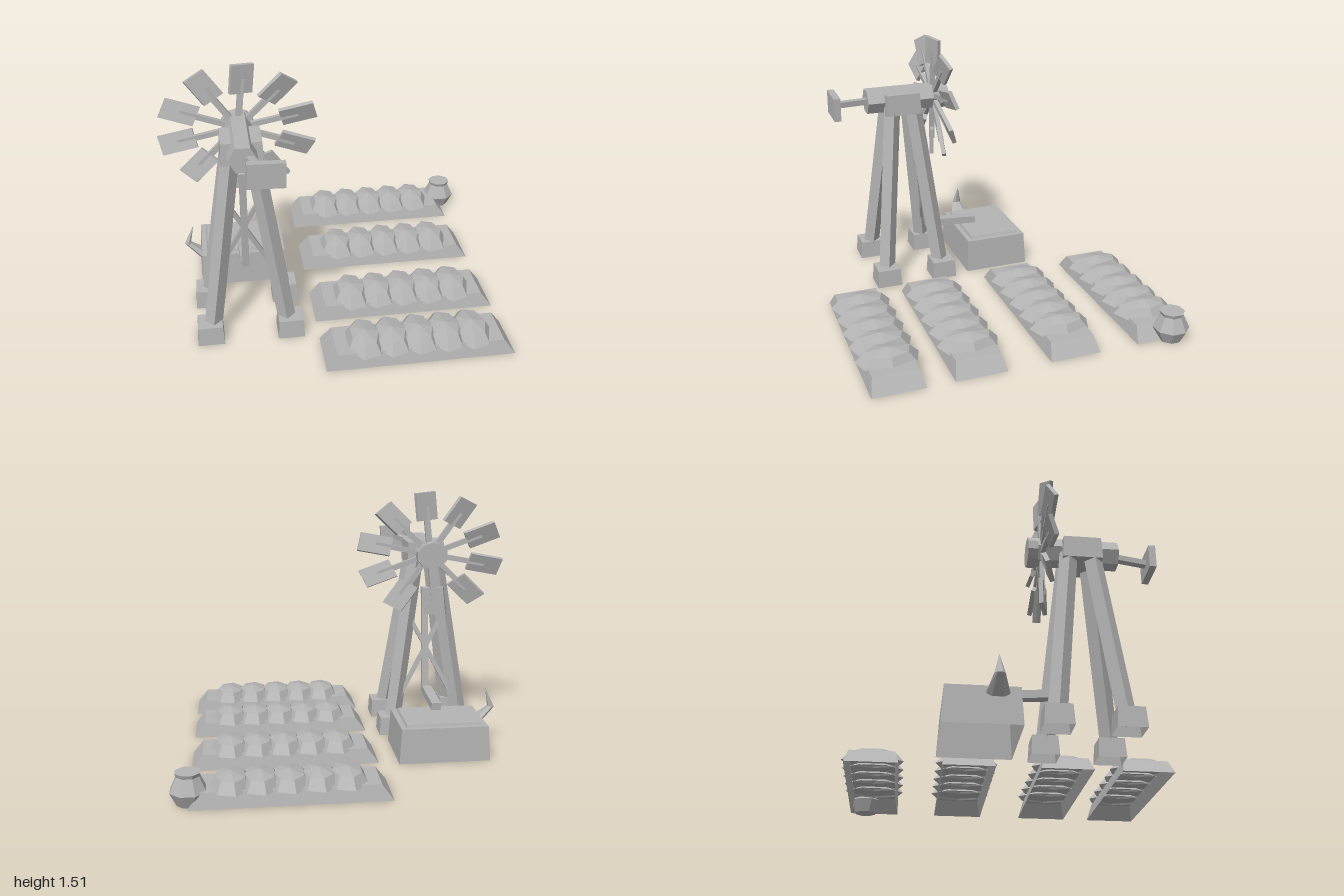
import * as THREE from 'three';

const grey = new THREE.MeshStandardMaterial({ color: 0xb4b4b4, flatShading: true, side: THREE.DoubleSide });
grey.name = 'grey';

const V = (x, y, z) => new THREE.Vector3(x, y, z);

function add(parent, name, geometry, x = 0, y = 0, z = 0) {
  const mesh = new THREE.Mesh(geometry, grey);
  mesh.name = name;
  mesh.position.set(x, y, z);
  parent.add(mesh);
  return mesh;
}

// Box standing on y = 0 with a smaller top; it may be left open underneath
function taperedBox(w, d, topW, topD, h, open = true) {
  const g = new THREE.BoxGeometry(w, h, d).translate(0, h / 2, 0);
  const p = g.attributes.position;
  for (let i = 0; i < p.count; i++) {
    if (p.getY(i) > h / 2) p.setXYZ(i, p.getX(i) * topW / w, h, p.getZ(i) * topD / d);
  }
  if (open) {
    const index = Array.from(g.index.array);
    index.splice(18, 6);
    g.setIndex(index);
    g.clearGroups();
  }
  return g;
}

// Square beam between two points; "side" fixes the direction of its width
function beam(parent, name, a, b, width, depth, side) {
  const dir = b.clone().sub(a);
  const length = dir.length();
  dir.normalize();
  const zAxis = side.clone().cross(dir).normalize();
  const xAxis = dir.clone().cross(zAxis);
  const mesh = add(parent, name, new THREE.BoxGeometry(width, length, depth));
  mesh.quaternion.setFromRotationMatrix(new THREE.Matrix4().makeBasis(xAxis, dir, zAxis));
  mesh.position.copy(a).add(b).multiplyScalar(0.5);
  return mesh;
}

// Raised soil bed with five overlapping faceted plants
function createBed(z) {
  const bed = new THREE.Group();
  bed.name = 'cropBed';
  bed.position.z = z;
  add(bed, 'soil', taperedBox(1.07, 0.298, 0.945, 0.255, 0.085), 0.37);
  const profile = [0, 1, 2].map(i => {
    const a = i * Math.PI / 4;
    return new THREE.Vector2(i === 2 ? 0 : Math.cos(a), Math.sin(a));
  });
  const dome = new THREE.LatheGeometry(profile, 7).rotateY(Math.PI / 2).scale(0.115, 0.077, 0.182);
  for (let i = 0; i < 5; i++) add(bed, 'plant', dome, 0.067 + i * 0.154, 0.075, 0);
  return bed;
}

// Four-legged tower with feet, rear bracing and pump rod
function createTower() {
  const tower = new THREE.Group();
  tower.name = 'tower';
  tower.position.set(-0.55, 0, 0.326);
  for (const sx of [-1, 1]) {
    for (const sz of [-1, 1]) {
      add(tower, 'foot', taperedBox(0.152, 0.155, 0.14, 0.14, 0.11), sx * 0.23, 0, sz * 0.181);
      beam(tower, 'leg', V(sx * 0.215, 0.06, sz * 0.178), V(sx * 0.06, 1.11, sz * 0.066),
        0.072, 0.072, V(sx, 0, -sz));
    }
    // Braces cross in the sloping plane of the rear legs
    beam(tower, 'brace', V(sx * 0.18, 0.2, -0.165), V(-sx * 0.1, 0.72, -0.108), 0.026, 0.02, V(1, 0, 0));
  }
  beam(tower, 'pumpRod', V(0.004, 0.25, -0.16), V(0.004, 0.91, -0.087), 0.04, 0.035, V(1, 0, 0));
  beam(tower, 'pumpArm', V(0, 0.27, -0.19), V(0, 0.25, -0.486), 0.058, 0.045, V(1, 0, 0));
  return tower;
}

// Gearbox, shaft and tail vane
function createHead() {
  const head = new THREE.Group();
  head.name = 'head';
  head.position.set(-0.55, 1.14, 0);
  add(head, 'gearbox', taperedBox(0.232, 0.222, 0.225, 0.21, 0.13, false), 0, -0.08, 0.332);
  const shaft = new THREE.CylinderGeometry(0.081, 0.081, 0.47, 6)
    .rotateY(Math.PI / 2).rotateX(Math.PI / 2);
  shaft.rotateZ(0);
  // Corners of the shaft point sideways
  const corner = Math.abs(shaft.attributes.position.getX(0));
  if (corner < 0.05) shaft.rotateZ(Math.PI / 2);
  add(head, 'shaft', shaft, 0, 0, 0.31);
  beam(head, 'tailRod', V(0.015, 0.005, 0.5), V(0.105, 0.025, 0.76), 0.04, 0.034, V(1, 0, 0));
  const vane = add(head, 'tailVane', new THREE.BoxGeometry(0.2, 0.14, 0.04), 0.103, 0.023, 0.76);
  vane.rotation.z = -0.03;
  return head;
}

// Slightly oval wheel of ten pitched blades
function createWheel() {
  const wheel = new THREE.Group();
  wheel.name = 'wheel';
  wheel.position.set(-0.55, 1.135, 0.115);
  wheel.scale.x = 1.19;
  add(wheel, 'hub', new THREE.CylinderGeometry(0.08, 0.08, 0.055, 10).rotateX(Math.PI / 2), 0, 0, -0.056);
  const bladeShape = new THREE.BoxGeometry(0.168, 0.112, 0.024).rotateX(0.35);
  const spokeShape = new THREE.BoxGeometry(0.28, 0.03, 0.026);
  for (let i = 0; i < 10; i++) {
    const arm = new THREE.Group();
    arm.name = 'arm';
    arm.rotation.z = (13 + 36 * i) * Math.PI / 180;
    add(arm, 'spoke', spokeShape, 0.15);
    add(arm, 'blade', bladeShape, 0.292);
    wheel.add(arm);
  }
  return wheel;
}

// Water tank with a lid and an upturned, pointed spout
function createTank() {
  const tank = new THREE.Group();
  tank.name = 'tank';
  tank.position.set(-0.548, 0, -0.226);
  add(tank, 'tankBody', taperedBox(0.535, 0.408, 0.51, 0.385, 0.205));
  add(tank, 'lid', taperedBox(0.45, 0.325, 0.435, 0.315, 0.018), 0, 0.203, 0);
  // Rows run from tip to wall: centre x, centre y, half thickness, half width, slope
  const rows = [
    [-0.302, 0.355, 0.001, 0.001, 0.3],
    [-0.338, 0.24, 0.02, 0.028, 0.1],
    [-0.255, 0.165, 0.025, 0.062, 1.1],
  ];
  const spout = new THREE.CylinderGeometry(1, 1, 2, 6, 2, true);
  const p = spout.attributes.position;
  for (let i = 0; i < p.count; i++) {
    const [cx, cy, t, w, a] = rows[1 - Math.round(p.getY(i))];
    const u = p.getX(i) * t;
    p.setXYZ(i, cx + u * Math.cos(a), cy + u * Math.sin(a), p.getZ(i) * w);
  }
  add(tank, 'spout', spout, 0, 0, 0.076);
  return tank;
}

export function createModel() {
  const model = new THREE.Group();
  model.name = 'windpumpFarm';
  model.add(createTower(), createHead(), createWheel(), createTank());
  for (const z of [-0.775, -0.243, 0.307, 0.763]) model.add(createBed(z));

  // Octagonal storage pot
  const profile = [[0, 0], [0.065, 0], [0.103, 0.075], [0.064, 0.157], [0.072, 0.178], [0, 0.178]];
  const pot = new THREE.LatheGeometry(profile.map(([r, y]) => new THREE.Vector2(r, y)), 8);
  add(model, 'pot', pot.rotateY(Math.PI / 8), 0.902, 0, -0.833);
  return model;
}
